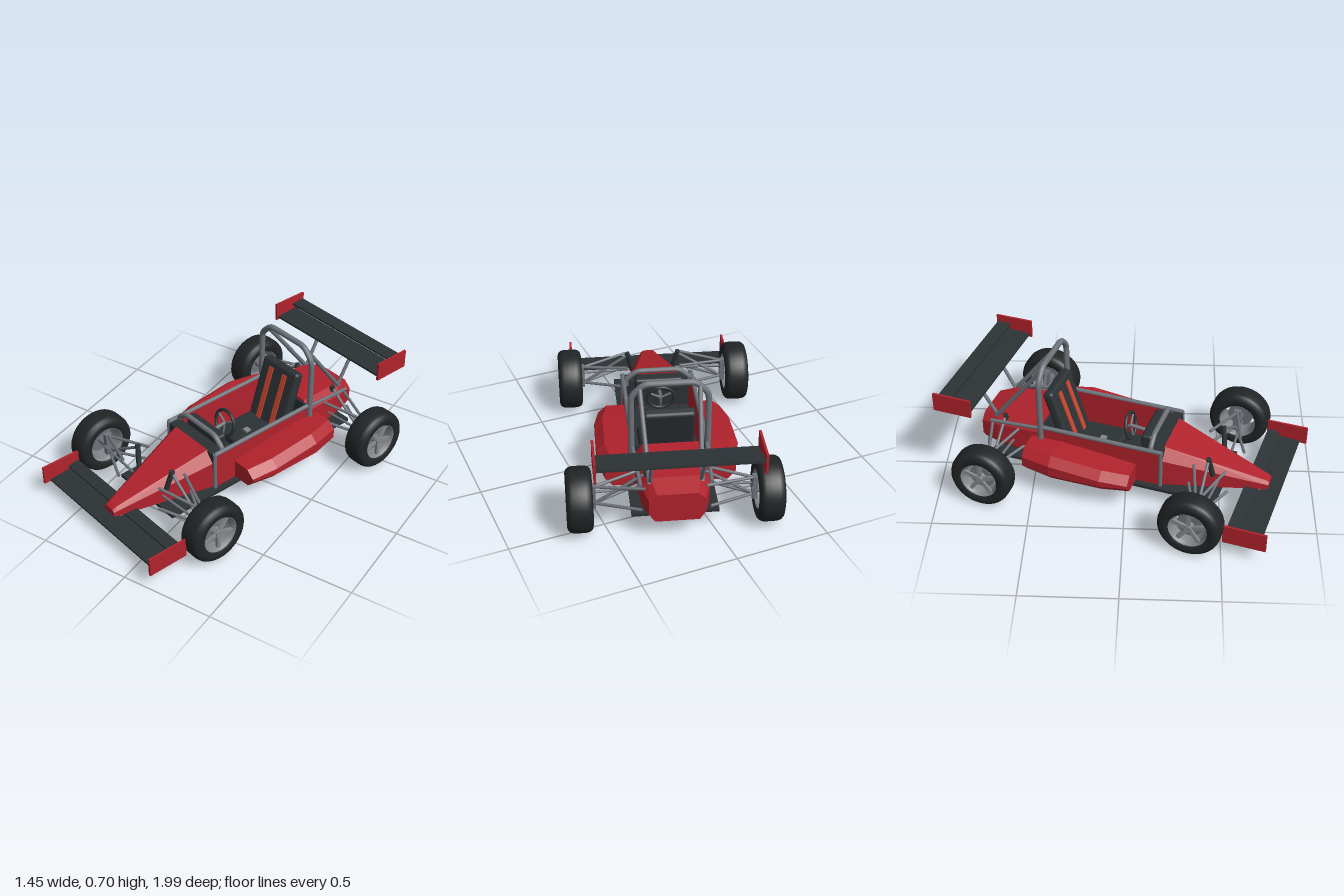
import * as THREE from 'three';
import { ConvexGeometry } from 'three/addons/geometries/ConvexGeometry.js';
import { RoundedBoxGeometry } from 'three/addons/geometries/RoundedBoxGeometry.js';

const V = (x, y, z) => new THREE.Vector3(x, y, z);
const paint = (color) => new THREE.MeshStandardMaterial({ color, side: THREE.DoubleSide });
const RED = paint(0xb0222c), DARK = paint(0x2c3235), RUBBER = paint(0x212426);
const STEEL = paint(0x6e737a), RIM = paint(0x84888c), STRAP = paint(0xcc4630);

function add(parent, name, geometry, material, x = 0, y = 0, z = 0) {
  const mesh = new THREE.Mesh(geometry, material);
  mesh.name = name;
  mesh.position.set(x, y, z);
  parent.add(mesh);
  return mesh;
}

function box(parent, name, size, pos, material) {
  return add(parent, name, new THREE.BoxGeometry(...size), material, ...pos);
}

// Straight rod between two points
function rod(parent, name, a, b, radius, material = STEEL) {
  const dir = b.clone().sub(a);
  const mesh = add(parent, name, new THREE.CylinderGeometry(radius, radius, dir.length(), 12), material);
  mesh.position.copy(a).add(b).multiplyScalar(0.5);
  mesh.quaternion.setFromUnitVectors(V(0, 1, 0), dir.normalize());
  return mesh;
}

// Bent tube made of straight runs with short rounded bends
function bentTube(parent, name, pts, radius) {
  const path = new THREE.CurvePath();
  let from = pts[0];
  for (let i = 1; i < pts.length - 1; i++) {
    const near = (p) => pts[i].clone().lerp(p, Math.min(0.3, 0.03 / pts[i].distanceTo(p)));
    const a = near(pts[i - 1]), b = near(pts[i + 1]);
    path.add(new THREE.LineCurve3(from, a));
    path.add(new THREE.QuadraticBezierCurve3(a, pts[i], b));
    from = b;
  }
  path.add(new THREE.LineCurve3(from, pts[pts.length - 1]));
  return add(parent, name, new THREE.TubeGeometry(path, 80, radius, 12), STEEL);
}

// Faceted shell through mirrored sections; each is [z, [[x, y], ...]]
function shell(parent, name, sections) {
  const pts = sections.flatMap(([z, half]) => half.flatMap(([x, y]) => [V(x, y, z), V(-x, y, z)]));
  return add(parent, name, new ConvexGeometry(pts), RED);
}

// Wheel with its axis along y, outer face at +y
function makeWheel(name) {
  const wheel = new THREE.Group();
  wheel.name = name;
  const lathe = (pts) => new THREE.LatheGeometry(pts.map((p) => new THREE.Vector2(...p)), 40);
  add(wheel, 'tyre', lathe([[0.1, -0.055], [0.112, -0.064], [0.135, -0.066], [0.151, -0.061], [0.161, -0.05],
    [0.166, -0.034], [0.167, 0], [0.166, 0.034], [0.161, 0.05], [0.151, 0.061], [0.135, 0.066],
    [0.112, 0.064], [0.1, 0.055]]), RUBBER);
  add(wheel, 'rimBarrel', lathe([[0.102, -0.06], [0.097, -0.058], [0.09, -0.04], [0.088, 0.03], [0.095, 0.055],
    [0.102, 0.06]]), RIM);
  add(wheel, 'brakeDisc', new THREE.CylinderGeometry(0.07, 0.07, 0.01, 32), STEEL, 0, 0.01, 0);
  add(wheel, 'hub', new THREE.CylinderGeometry(0.02, 0.024, 0.05, 20), RIM, 0, 0.03, 0);
  for (let i = 0; i < 5; i++) {
    const arm = new THREE.Group();
    arm.name = 'spoke';
    arm.rotation.y = (i / 5) * Math.PI * 2;
    box(arm, 'spokeBar', [0.08, 0.014, 0.021], [0.053, 0.04, 0], RIM);
    wheel.add(arm);
  }
  return wheel;
}

// Wheel, wishbones and damper of one corner
function makeCorner(name, side, z) {
  const corner = new THREE.Group();
  corner.name = name;
  const wheel = makeWheel('wheel');
  wheel.position.set(0.474 * side, 0.168, z);
  wheel.rotation.z = -side * Math.PI / 2;
  corner.add(wheel);
  const p = (x, y, dz) => V(x * side, y, z + dz);
  box(corner, 'upright', [0.025, 0.13, 0.04], [0.405 * side, 0.185, z], STEEL);
  rod(corner, 'axleStub', p(0.39, 0.168, 0), p(0.48, 0.168, 0), 0.018);
  for (const dz of [-0.105, 0.105]) {
    rod(corner, 'upperWishbone', p(0.4, 0.24, 0), p(0.15, 0.27, dz * 0.8), 0.008);
    rod(corner, 'lowerWishbone', p(0.4, 0.14, 0), p(0.17, 0.16, dz), 0.008);
  }
  rod(corner, 'trackRod', p(0.4, 0.185, 0.03), p(0.13, 0.185, 0.045), 0.007);
  rod(corner, 'pushRod', p(0.39, 0.145, 0), p(0.145, 0.31, -0.01), 0.008);
  rod(corner, 'damper', p(0.115, 0.2, 0.01), p(0.145, 0.325, -0.01), 0.014, DARK);
  return corner;
}

// Two-element wing with end plates; dir is +1 when the flap trails toward -z
function makeWing(name, half, main, flap, plate) {
  const wing = new THREE.Group();
  wing.name = name;
  for (const [part, e] of [['mainPlane', main], ['flap', flap]]) {
    const m = box(wing, part, [half * 2, 0.012, e.chord], [0, e.y, e.z], DARK);
    m.rotation.x = e.tilt;
  }
  for (const s of [-1, 1]) box(wing, 'endPlate', [0.012, plate.h, plate.l], [s * half, plate.y, plate.z], RED);
  return wing;
}

export function createModel() {
  const car = new THREE.Group();
  car.name = 'openWheelRaceCar';

  // Floor and cockpit tub
  box(car, 'floor', [0.44, 0.018, 1.27], [0, 0.105, -0.065], DARK);
  for (const s of [-1, 1]) {
    box(car, 'sidePanel', [0.014, 0.21, 0.67], [s * 0.185, 0.222, -0.075], RED);
    rod(car, 'topRail', V(s * 0.19, 0.33, 0.26), V(s * 0.19, 0.33, -0.41), 0.012);
    rod(car, 'frontPost', V(s * 0.19, 0.11, 0.26), V(s * 0.19, 0.335, 0.26), 0.011);
    rod(car, 'rearRail', V(s * 0.19, 0.32, -0.41), V(s * 0.175, 0.29, -0.71), 0.01);
  }
  box(car, 'scuttle', [0.36, 0.012, 0.07], [0, 0.322, 0.23], DARK);
  box(car, 'frontBulkhead', [0.36, 0.2, 0.012], [0, 0.22, 0.26], DARK);
  box(car, 'rearBulkhead', [0.36, 0.2, 0.012], [0, 0.22, -0.41], DARK);

  // Nose and tail bodywork
  shell(car, 'nose', [
    [0.26, [[0.13, 0.33], [0.18, 0.27], [0.18, 0.115]]],
    [0.78, [[0.03, 0.172], [0.047, 0.155], [0.047, 0.12]]],
    [0.805, [[0.025, 0.16], [0.04, 0.148], [0.04, 0.125]]],
  ]);
  shell(car, 'tail', [
    [-0.415, [[0.14, 0.33], [0.18, 0.28], [0.18, 0.115]]],
    [-0.68, [[0.125, 0.312], [0.17, 0.265], [0.17, 0.16], [0.135, 0.115]]],
    [-0.78, [[0.1, 0.28], [0.14, 0.245], [0.14, 0.165], [0.11, 0.12]]],
  ]);

  // Side pods
  const podSections = [[0.125, 0.335, 0.222], [-0.02, 0.365, 0.24], [-0.3, 0.37, 0.265], [-0.465, 0.335, 0.26]];
  for (const s of [-1, 1]) {
    const pts = podSections.flatMap(([z, out, top]) => [[0.19, top], [out - 0.045, top], [out, top - 0.04],
      [out, 0.165], [out - 0.04, 0.12], [0.19, 0.12]].map(([x, y]) => V(s * x, y, z)));
    add(car, 'sidePod', new ConvexGeometry(pts), RED);
  }

  // Roll hoops and braces
  const hoop = (name, z, w, base, shoulder, top, inset, r) => bentTube(car, name, [V(-w, base, z), V(-w, shoulder, z),
    V(inset - w, top, z), V(w - inset, top, z), V(w, shoulder, z), V(w, base, z)], r);
  hoop('mainRollHoop', -0.41, 0.195, 0.11, 0.615, 0.682, 0.065, 0.016);
  hoop('frontRollHoop', 0.2, 0.175, 0.3, 0.34, 0.388, 0.06, 0.014);
  for (const s of [-1, 1]) {
    rod(car, 'hoopBrace', V(s * 0.15, 0.66, -0.415), V(s * 0.13, 0.29, -0.7), 0.012);
    rod(car, 'wingStrut', V(s * 0.13, 0.49, -0.8), V(s * 0.125, 0.25, -0.665), 0.01);
  }

  // Seat, belts and buckle
  add(car, 'seatBase', new RoundedBoxGeometry(0.27, 0.06, 0.3, 3, 0.02), DARK, 0, 0.155, -0.17);
  const back = new THREE.Group();
  back.name = 'seatBack';
  back.position.set(0, 0.15, -0.28);
  back.rotation.x = -0.31;
  add(back, 'backCushion', new RoundedBoxGeometry(0.265, 0.38, 0.06, 3, 0.02), DARK, 0, 0.185, 0);
  for (const s of [-1, 1]) box(back, 'shoulderBelt', [0.032, 0.33, 0.008], [s * 0.052, 0.17, 0.032], STRAP);
  car.add(back);
  box(car, 'beltBuckle', [0.032, 0.012, 0.032], [0, 0.19, -0.127], RIM);

  // Dashboard and steering
  add(car, 'dashboard', new RoundedBoxGeometry(0.26, 0.08, 0.06, 3, 0.015), DARK, 0, 0.33, 0.16);
  const steering = add(car, 'steeringWheel', new THREE.TorusGeometry(0.072, 0.009, 10, 32), DARK, 0, 0.318, 0.03);
  steering.rotation.x = -0.2;
  rod(car, 'steeringColumn', V(0, 0.318, 0.03), V(0, 0.305, 0.16), 0.01);
  for (const a of [0, 2.1, 4.2]) {
    const tip = V(Math.sin(a) * 0.07, -Math.cos(a) * 0.07, 0).applyEuler(steering.rotation);
    rod(car, 'steeringSpoke', V(0, 0.318, 0.03), tip.add(steering.position), 0.006, STEEL);
  }

  // Wheels and suspension
  for (const s of [-1, 1]) {
    car.add(makeCorner(s > 0 ? 'frontLeftCorner' : 'frontRightCorner', s, 0.514));
    car.add(makeCorner(s > 0 ? 'rearLeftCorner' : 'rearRightCorner', s, -0.627));
  }

  // Wings
  car.add(makeWing('frontWing', 0.458, { chord: 0.14, y: 0.092, z: 0.795, tilt: 0.06 },
    { chord: 0.065, y: 0.122, z: 0.715, tilt: 0.18 }, { h: 0.105, l: 0.225, y: 0.134, z: 0.79 }));
  car.add(makeWing('rearWing', 0.402, { chord: 0.135, y: 0.492, z: -0.785, tilt: 0.06 },
    { chord: 0.075, y: 0.53, z: -0.87, tilt: 0.1 }, { h: 0.103, l: 0.212, y: 0.523, z: -0.81 }));
  for (const s of [-1, 1]) rod(car, 'noseWingMount', V(s * 0.03, 0.09, 0.76), V(s * 0.03, 0.14, 0.74), 0.008);

  // The car stands turned on the ground
  car.rotation.y = -0.3;
  car.position.set(-0.022, 0, -0.007);
  const model = new THREE.Group();
  model.name = 'raceCar';
  model.add(car);
  return model;
}
